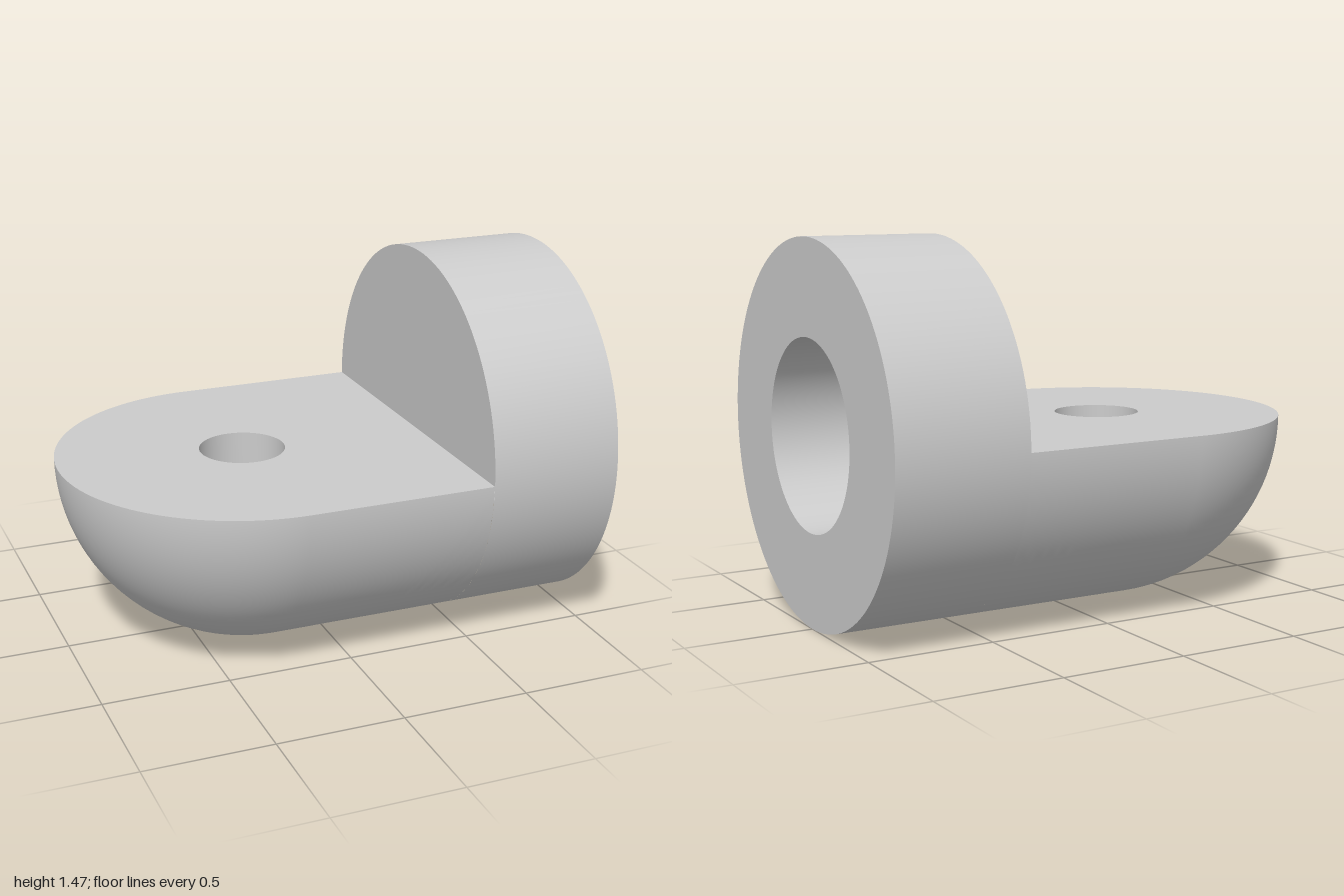
import * as THREE from 'three';
import { toCreasedNormals } from 'three/addons/utils/BufferGeometryUtils.js';

const R = 0.737;        // body radius
const BORE = 0.368;     // blind bore radius
const DEPTH = 0.42;     // blind bore depth
const HOLE = 0.17;      // pin hole radius
const STEP = 0.474;     // x where the full disc begins
const CX = -0.263;      // pin hole and dome centre
const SEG = 128;

// Underside of the tongue at offset (u, v) from the hole: dome for u < 0, cylinder for u > 0
const underY = (u, v) => -Math.sqrt(Math.max(0, R * R - v * v - Math.min(u, 0) ** 2));

// Grid surface from a point function, with a rule for its normals
function grid(rows, cols, point, normal) {
  const pos = [], nor = [], idx = [];
  for (let i = 0; i <= rows; i++) {
    for (let j = 0; j <= cols; j++) {
      const p = point(i / rows, (j / cols) * Math.PI * 2);
      pos.push(p.x, p.y, p.z);
      nor.push(...normal(p).normalize().toArray());
      if (i < rows && j < cols) {
        const a = i * (cols + 1) + j, b = a + cols + 1;
        idx.push(a, b, b + 1, a, b + 1, a + 1);
      }
    }
  }
  const g = new THREE.BufferGeometry();
  g.setAttribute('position', new THREE.Float32BufferAttribute(pos, 3));
  g.setAttribute('normal', new THREE.Float32BufferAttribute(nor, 3));
  g.setIndex(idx);
  return g;
}

// Rounded underside, spread from the pin hole out to the tongue's outline
function undersidePoint(s, t) {
  const c = Math.cos(t), n = Math.sin(t);
  if (c < 0) {
    const phi = THREE.MathUtils.lerp(Math.asin(HOLE / R), Math.PI / 2, s);
    const r = R * Math.sin(phi);
    return new THREE.Vector3(CX + r * c, -R * Math.cos(phi), r * n);
  }
  const k = 1 / Math.max(c, Math.abs(n));
  const u = THREE.MathUtils.lerp(HOLE * c, (STEP - CX) * c * k, s);
  const theta = THREE.MathUtils.lerp(Math.asin(HOLE * n / R), Math.PI / 2 * n * k, s);
  return new THREE.Vector3(CX + u, -R * Math.cos(theta), R * Math.sin(theta));
}

export function createModel() {
  const group = new THREE.Group();
  const material = new THREE.MeshStandardMaterial({ color: 0xcccccc });
  const add = (name, geometry) => {
    const mesh = new THREE.Mesh(geometry, material);
    mesh.name = name;
    mesh.position.y = R;
    group.add(mesh);
  };

  // Full disc with its blind bore, turned about the x axis
  const profile = [[R, STEP], [R, 1], [BORE, 1], [BORE, 1 - DEPTH]];
  const disc = new THREE.LatheGeometry(profile.map(p => new THREE.Vector2(...p)), SEG);
  add('boredDisc', toCreasedNormals(disc.rotateZ(-Math.PI / 2), 0.6));

  const floor = new THREE.CircleGeometry(BORE, SEG);
  add('boreFloor', floor.rotateY(Math.PI / 2).translate(1 - DEPTH, 0, 0));

  // Half-round shoulder above the tongue
  const shoulder = new THREE.CircleGeometry(R, SEG / 2, 0, Math.PI);
  add('shoulder', shoulder.rotateY(-Math.PI / 2).translate(STEP, 0, 0));

  // Flat top of the tongue with the pin hole
  const top = new THREE.Shape();
  top.moveTo(STEP, -R);
  top.lineTo(STEP, R);
  top.lineTo(CX, R);
  top.absarc(CX, 0, R, Math.PI / 2, Math.PI * 1.5, false);
  top.closePath();
  top.holes.push(new THREE.Path().absarc(CX, 0, HOLE, 0, Math.PI * 2, true));
  add('tongueTop', new THREE.ShapeGeometry(top, SEG / 2).rotateX(-Math.PI / 2));

  // Half-cylinder underside ending in a quarter-sphere dome
  add('tongueUnderside', grid(24, SEG, undersidePoint,
    p => new THREE.Vector3(Math.min(p.x - CX, 0), p.y, p.z)));

  // Pin hole wall, running from the flat top down to the curved underside
  add('pinHole', grid(1, SEG, (s, t) => {
    const u = HOLE * Math.cos(t), v = HOLE * Math.sin(t);
    return new THREE.Vector3(CX + u, underY(u, v) * s, v);
  }, p => new THREE.Vector3(CX - p.x, 0, -p.z)));

  return group;
}
